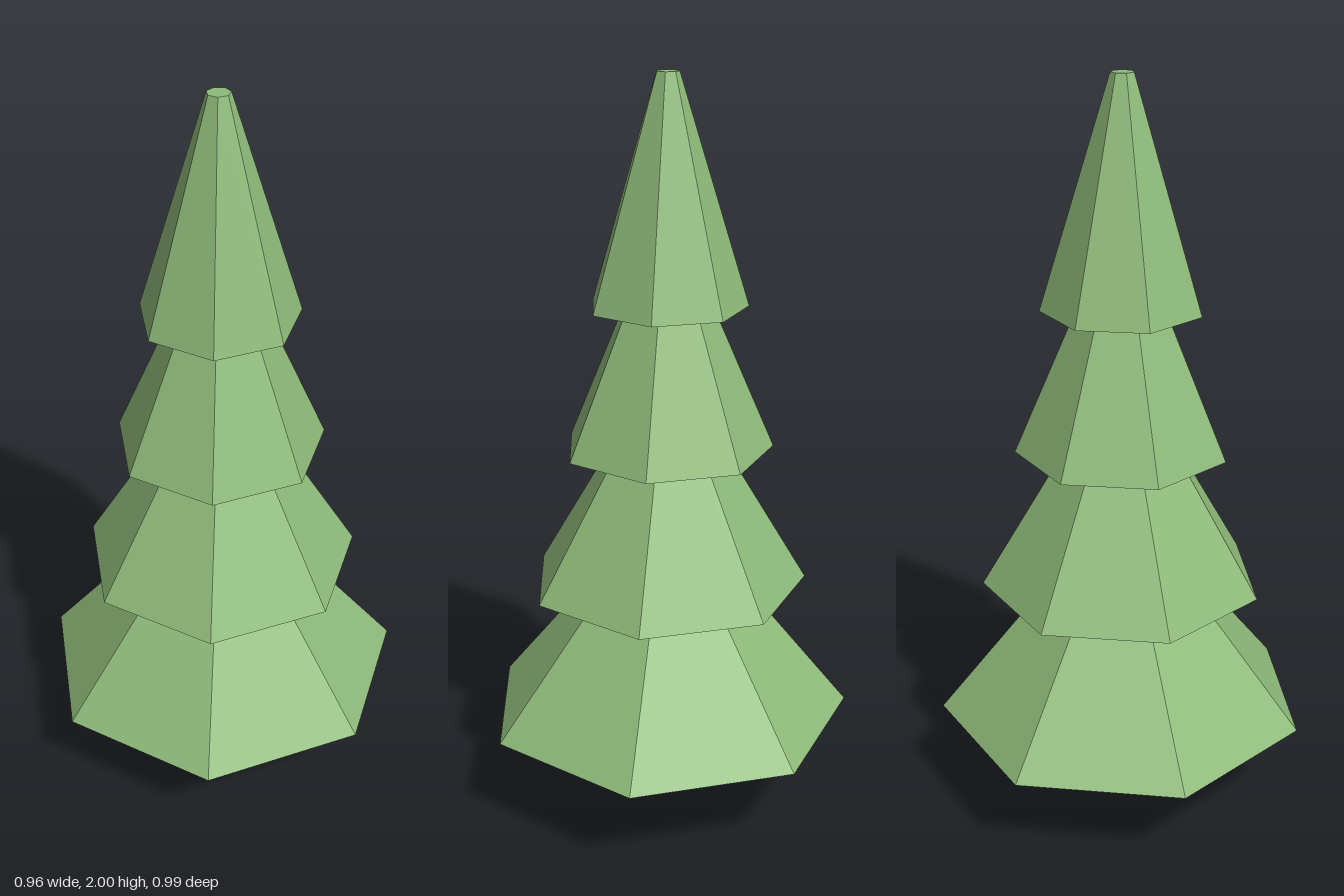
import * as THREE from 'three';

export function createModel() {
  const tree = new THREE.Group();
  tree.name = 'pineTree';
  const axisX = -0.025;

  const leafMaterial = new THREE.MeshStandardMaterial({
    color: 0x8fbc7a, flatShading: true, side: THREE.DoubleSide,
  });
  const barkMaterial = new THREE.MeshStandardMaterial({ color: 0x9b8070 });

  // Six-sided trunk, ending inside the lowest tier
  const trunkHeight = 0.42;
  const trunk = new THREE.Mesh(
    new THREE.CylinderGeometry(0.053, 0.053, trunkHeight, 6, 1, false, Math.PI / 2),
    barkMaterial,
  );
  trunk.name = 'trunk';
  trunk.position.set(axisX, trunkHeight / 2, 0);
  tree.add(trunk);

  // Overlapping seven-sided tiers: hollow below, small flat cap on top
  const tierHeight = 0.59, tierStep = 0.383, tierBase = 0.26, tipRadius = 0.03;
  [0.507, 0.381, 0.284, 0.212].forEach((radius, i) => {
    const profile = [
      new THREE.Vector2(radius, 0),
      new THREE.Vector2(tipRadius, tierHeight),
      new THREE.Vector2(0, tierHeight),
    ];
    const tier = new THREE.Mesh(new THREE.LatheGeometry(profile, 7, Math.PI / 2), leafMaterial);
    tier.name = `foliageTier${i + 1}`;
    tier.position.set(axisX, tierBase + i * tierStep, 0);
    tree.add(tier);
  });

  return tree;
}
